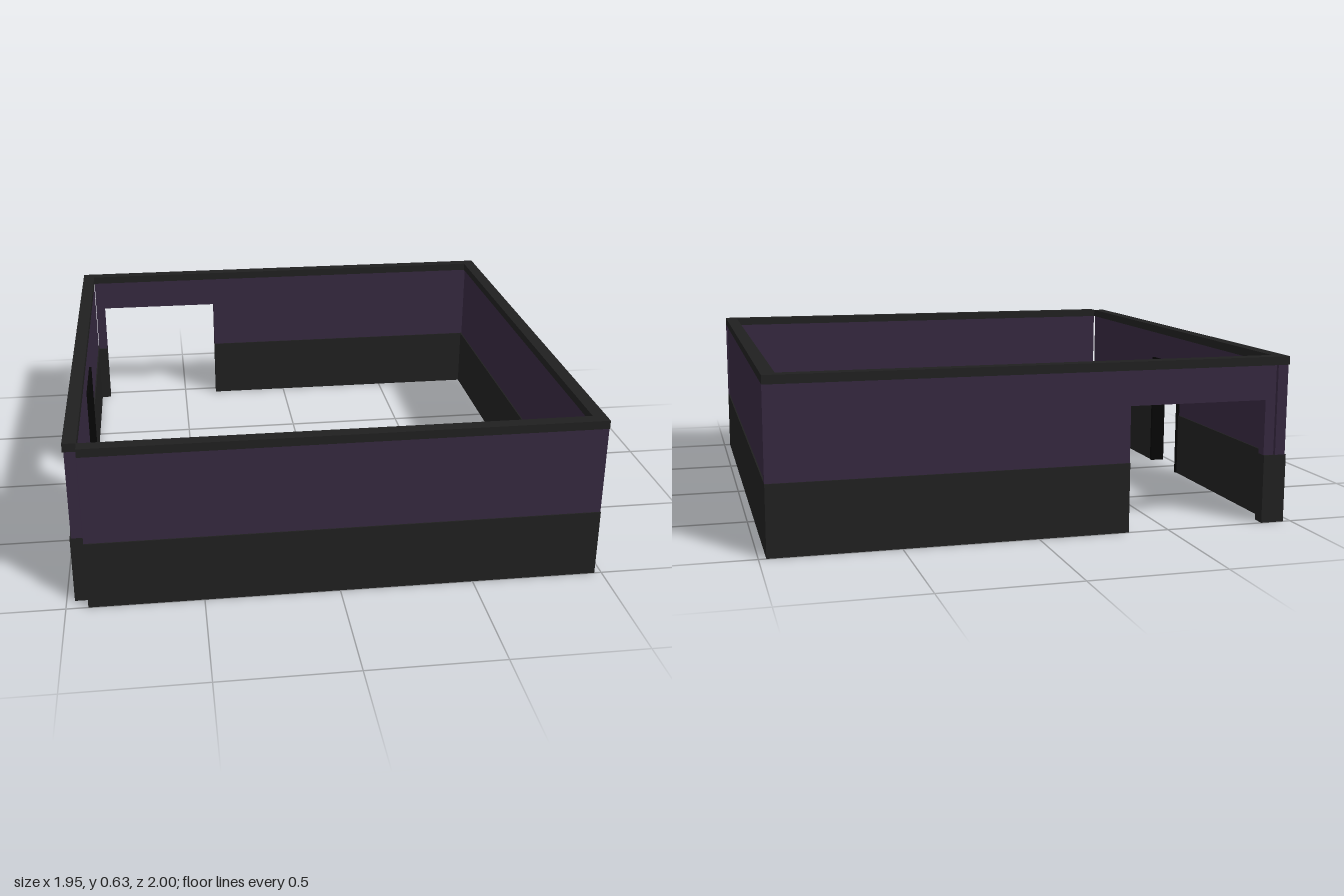
import * as THREE from 'three';

const stone = new THREE.MeshStandardMaterial({ color: 0x202020 });
const panel = new THREE.MeshStandardMaterial({ color: 0x35283f });
const trim = new THREE.MeshStandardMaterial({ color: 0x060606 });

const BASE_TOP = 0.26, PANEL_TOP = 0.6, WALL_TOP = 0.632;
const INSET = 0.005;

// Box between two limits along the wall (u), in height (y) and across the wall (t)
function slab(group, name, axis, [u0, u1], [y0, y1], [t0, t1], material) {
  const u = u1 - u0, h = y1 - y0, t = t1 - t0;
  const geo = axis === 'x' ? new THREE.BoxGeometry(u, h, t) : new THREE.BoxGeometry(t, h, u);
  const mesh = new THREE.Mesh(geo, material);
  const cu = (u0 + u1) / 2, ct = (t0 + t1) / 2;
  mesh.position.set(axis === 'x' ? cu : ct, (y0 + y1) / 2, axis === 'x' ? ct : cu);
  mesh.name = name;
  group.add(mesh);
}

// Wall of stone base, inset panel and coping, with an optional opening { from, to, top }
function makeWall(name, axis, span, depth, opening) {
  const wall = new THREE.Group();
  wall.name = name;
  const inset = [depth[0] + INSET, depth[1] - INSET];
  const runs = opening ? [[span[0], opening.from], [opening.to, span[1]]] : [span];
  for (const run of runs) {
    slab(wall, 'base', axis, run, [0, BASE_TOP], depth, stone);
    slab(wall, 'panel', axis, run, [BASE_TOP, PANEL_TOP], inset, panel);
  }
  if (opening) {
    slab(wall, 'lintelPanel', axis, [opening.from, opening.to], [opening.top, PANEL_TOP], inset, panel);
  }
  slab(wall, 'coping', axis, span, [PANEL_TOP, WALL_TOP], depth, stone);
  return wall;
}

// Thin lining around the doorway, standing slightly proud of the wall
function makeDoorFrame(axis, { from, to, top }, depth) {
  const frame = new THREE.Group();
  frame.name = 'doorFrame';
  const w = 0.015;
  const proud = [depth[0] - INSET, depth[1] + INSET];
  slab(frame, 'jamb', axis, [from, from + w], [0, top], proud, trim);
  slab(frame, 'jamb', axis, [to - w, to], [0, top], proud, trim);
  slab(frame, 'head', axis, [from + w, to - w], [top - w, top], proud, trim);
  return frame;
}

export function createModel() {
  const model = new THREE.Group();
  model.name = 'walledRoom';
  const door = { from: -0.135, to: 0.155, top: 0.485 };
  const gateway = { from: -0.88, to: -0.345, top: 0.47 };
  const doorWall = [-0.97, -0.92];

  model.add(
    makeWall('frontWall', 'x', [-0.92, 0.973], [0.95, 1]),
    makeWall('backWall', 'x', [-0.92, 0.973], [-1, -0.95], gateway),
    makeWall('leftWall', 'z', [-0.95, 0.95], [0.923, 0.973]),
    makeWall('rightWall', 'z', [-1, 0.95], doorWall, door),
    makeDoorFrame('z', door, doorWall)
  );
  return model;
}
